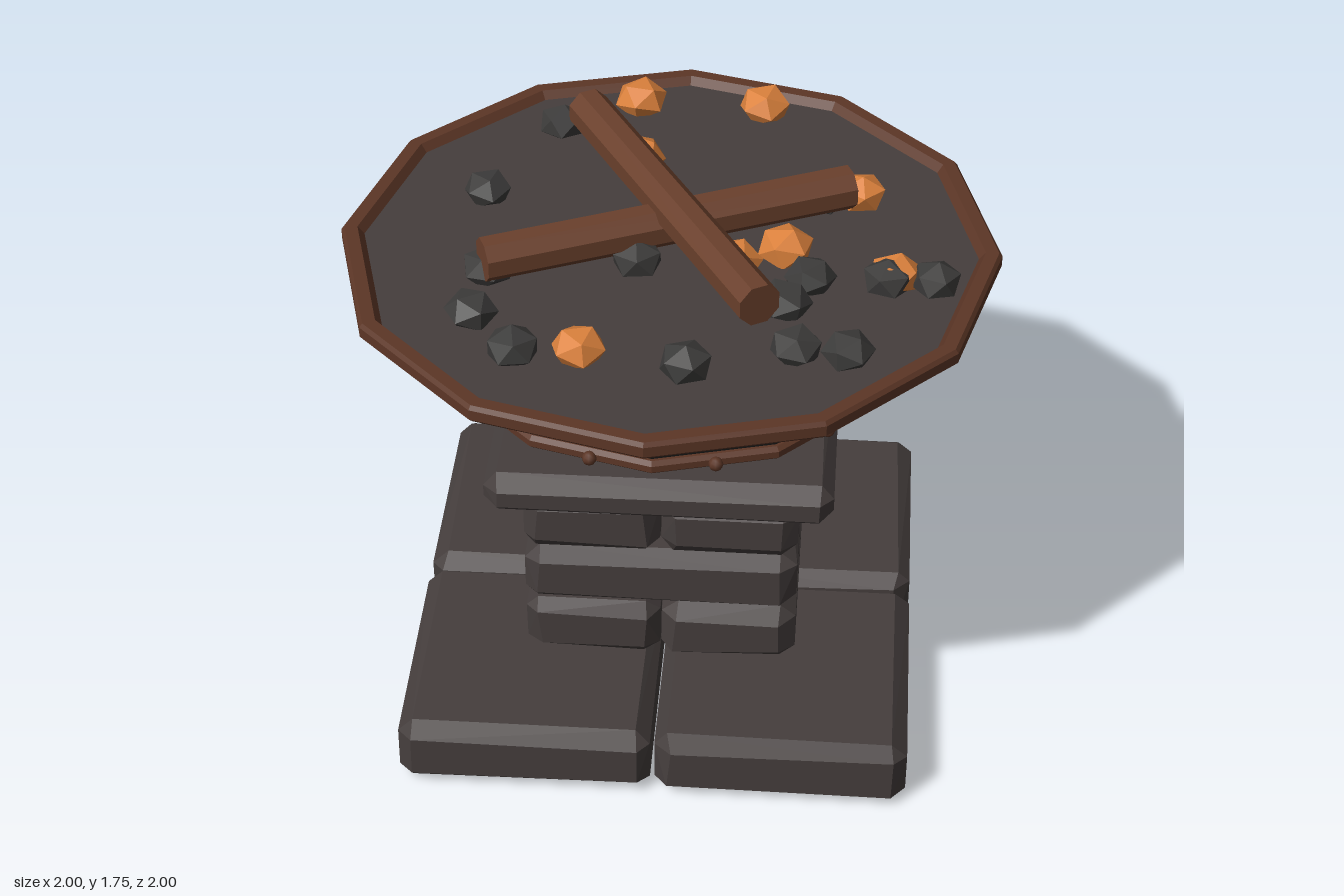
import * as THREE from 'three';
import { ConvexGeometry } from 'three/addons/geometries/ConvexGeometry.js';

const mat = (name, color) => {
  const m = new THREE.MeshStandardMaterial({ color });
  m.name = name;
  return m;
};

export function createModel() {
  const model = new THREE.Group();
  const stone = mat('stone', 0x453e3d);
  const iron = mat('dark iron', 0x2c2b29);
  const rust = mat('rusty iron', 0x5c3626);
  const wood = mat('wood', 0x6a402c);
  const coal = mat('coal', 0x3c3b3a);
  const ember = mat('ember', 0xdb813c);

  let seed = 7;
  const rand = () => (seed = (seed * 16807) % 2147483647) / 2147483647;

  const add = (name, geometry, material, parent = model) => {
    const mesh = new THREE.Mesh(geometry, material);
    mesh.name = name;
    parent.add(mesh);
    return mesh;
  };
  const faceted = (geometry) => {
    const g = geometry.toNonIndexed();
    g.computeVertexNormals();
    return g;
  };
  // Twelve-sided turned part from [radius, height] pairs
  const turned = (name, profile, material) =>
    add(name, faceted(new THREE.LatheGeometry(profile.map(([r, y]) => new THREE.Vector2(r, y)), 12)), material);

  // Roughly chamfered stone block between two corners
  const block = (name, x0, x1, y0, y1, z0, z1) => {
    const half = [(x1 - x0) / 2, (y1 - y0) / 2, (z1 - z0) / 2];
    const points = [];
    for (const sx of [-1, 1]) for (const sy of [-1, 1]) for (const sz of [-1, 1]) {
      for (let axis = 0; axis < 3; axis++) {
        const p = [sx, sy, sz].map((s, i) =>
          s * (half[i] - (i === axis ? 0 : 0.036 + 0.018 * rand())));
        points.push(new THREE.Vector3(...p));
      }
    }
    add(name, new ConvexGeometry(points), stone)
      .position.set((x0 + x1) / 2, (y0 + y1) / 2, (z0 + z1) / 2);
  };

  // Four base slabs
  for (const [x0, x1] of [[-0.795, -0.007], [0.007, 0.79]])
    for (const [z0, z1] of [[-0.795, -0.007], [0.007, 0.795]])
      block('baseSlab', x0, x1, 0, 0.232, z0, z1);

  // Pillar courses, alternately split across x and z
  const h = 0.425;
  [[0.235, 0.445], [0.447, 0.66], [0.662, 0.87]].forEach(([y0, y1], i) => {
    for (const [a, b] of [[-h, -0.002], [0.002, h]]) {
      if (i === 1) block('pillarStone', -h, h, y0, y1, a, b);
      else block('pillarStone', a, b, y0, y1, -h, h);
    }
  });
  add('pillarCore', new THREE.BoxGeometry(0.64, 0.72, 0.64), stone).position.y = 0.6;
  block('capStone', -0.53, 0.53, 0.88, 1.02, -0.53, 0.53);

  // Bowl, its filling and the iron hoops
  turned('bowl', [[0, 1.03], [0.45, 1.03], [0.95, 1.51]], iron);
  turned('ashBed', [[0.94, 1.535], [0, 1.535]], stone);
  turned('rim', [[0.93, 1.5], [0.985, 1.5], [1, 1.515], [1, 1.548], [0.99, 1.56],
    [0.95, 1.56], [0.93, 1.535], [0.93, 1.5]], rust);
  turned('hoop', [[0.64, 1.23], [0.715, 1.23], [0.728, 1.242], [0.728, 1.263],
    [0.715, 1.275], [0.66, 1.275]], rust);

  // Rivets at the middle of each hoop side
  for (let i = 0; i < 12; i++) {
    const a = (i + 0.5) * Math.PI / 6;
    add('rivet', new THREE.SphereGeometry(0.022, 8, 6), rust)
      .position.set(0.71 * Math.sin(a), 1.252, 0.71 * Math.cos(a));
  }

  // Four straps lying on the bowl
  for (let i = 0; i < 4; i++) {
    const arm = new THREE.Group();
    arm.name = 'strapArm';
    arm.rotation.y = Math.PI / 4 + i * Math.PI / 2;
    model.add(arm);
    const strap = add('strap', new THREE.BoxGeometry(0.065, 0.49, 0.03), iron, arm);
    strap.position.set(0, 1.272, 0.687);
    strap.rotation.x = Math.PI / 4;
  }

  // Two crossed logs
  const log = (a, b, y) => {
    const from = new THREE.Vector3(a[0], y, a[1]);
    const to = new THREE.Vector3(b[0], y, b[1]);
    const g = faceted(new THREE.CylinderGeometry(0.068, 0.068, from.distanceTo(to), 8, 1, false, Math.PI / 8));
    const mesh = add('log', g.rotateX(Math.PI / 2), wood);
    mesh.position.copy(from).lerp(to, 0.5);
    mesh.lookAt(to);
  };
  log([-0.295, -0.515], [0.293, 0.505], 1.692);
  log([-0.535, 0.245], [0.535, -0.225], 1.628);

  // Lumps scattered on the ash bed, by x and z
  const lumps = (name, spots, radius, material) => {
    for (const [x, z] of spots) {
      const g = new THREE.IcosahedronGeometry(radius * (0.95 + 0.1 * rand()), 0);
      g.rotateX(rand() * 6).rotateY(rand() * 6).scale(1, 0.75, 1);
      add(name, g, material).position.set(x, 1.565, z);
    }
  };
  lumps('coalLump', [[-0.39, -0.63], [-0.58, -0.23], [-0.53, 0.19], [-0.09, 0.11], [0.45, -0.27],
    [0.43, 0.17], [0.36, 0.3], [0.8, 0.16], [0.4, 0.52], [0.55, 0.53], [0.09, 0.62],
    [-0.41, 0.58], [-0.55, 0.41], [0.66, 0.16]], 0.08, coal);
  lumps('emberLump', [[-0.15, -0.79], [0.25, -0.78], [-0.13, -0.45], [0.57, -0.29],
    [0.35, 0.02], [0.2, 0.11], [0.68, 0.14], [-0.22, 0.57]], 0.085, ember);

  return model;
}
